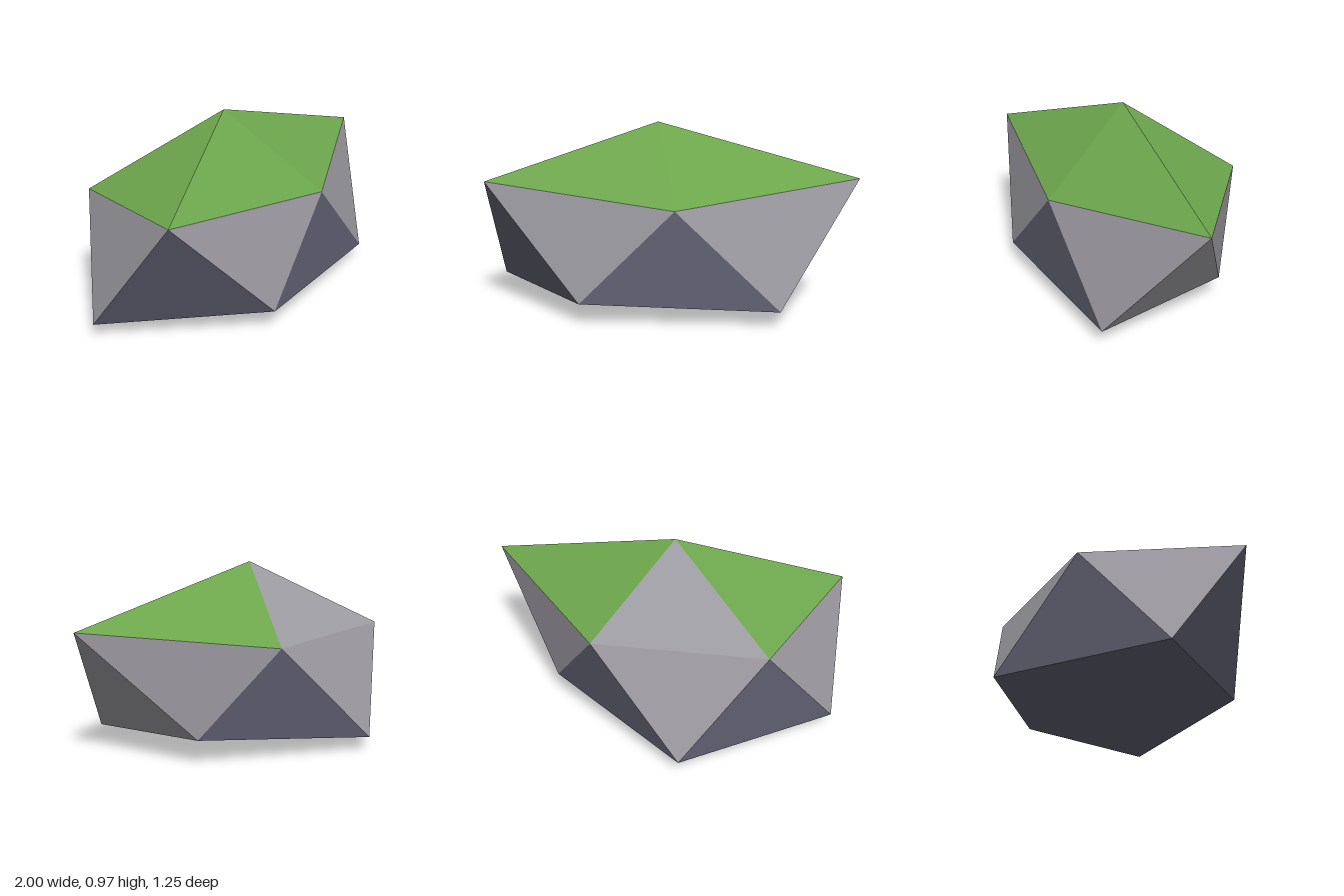
import * as THREE from 'three';

// Crown and foot points, with the two staggered five-point rings between them
const crown = [-0.08, 0.975, 0.035];
const foot = [-0.08, 0.005, 0.035];
const upper = [
  [0.995, 0.705, 0.035],
  [0.135, 0.585, 0.53],
  [-0.895, 0.685, 0.48],
  [-0.715, 0.617, -0.315],
  [0.16, 0.61, -0.52],
];
const lower = [
  [0.65, 0.085, 0.435],
  [-0.335, 0.11, 0.625],
  [-1.0, 0.08, 0.035],
  [-0.365, 0.08, -0.63],
  [0.5, 0.145, -0.28],
];

function facetMesh(name, facets, material) {
  const geometry = new THREE.BufferGeometry();
  geometry.setAttribute('position', new THREE.Float32BufferAttribute(facets.flat(2), 3));
  geometry.computeVertexNormals();
  const mesh = new THREE.Mesh(geometry, material);
  mesh.name = name;
  return mesh;
}

function paint(name, color) {
  const material = new THREE.MeshStandardMaterial({ color, flatShading: true });
  material.name = name;
  return material;
}

export function createModel() {
  const moss = [], paleStone = [], darkStone = [], underside = [];

  for (let i = 0; i < 5; i++) {
    const j = (i + 1) % 5;
    // Cap: mossy except for one bare facet at the back
    (i === 3 ? paleStone : moss).push([crown, upper[j], upper[i]]);
    // Side band: facets hanging from the upper ring, then rising from the lower ring
    paleStone.push([upper[i], upper[j], lower[i]]);
    (j === 0 ? paleStone : darkStone).push([lower[i], upper[j], lower[j]]);
    // Shallow base
    underside.push([foot, lower[i], lower[j]]);
  }

  const dark = paint('slate', 0x626273);
  const group = new THREE.Group();
  group.name = 'mossyRock';
  group.add(
    facetMesh('mossCap', moss, paint('moss green', 0x6ca54c)),
    facetMesh('paleStoneFacets', paleStone, paint('pale grey', 0x9c9aa1)),
    facetMesh('darkStoneFacets', darkStone, dark),
    facetMesh('underside', underside, dark),
  );
  return group;
}
